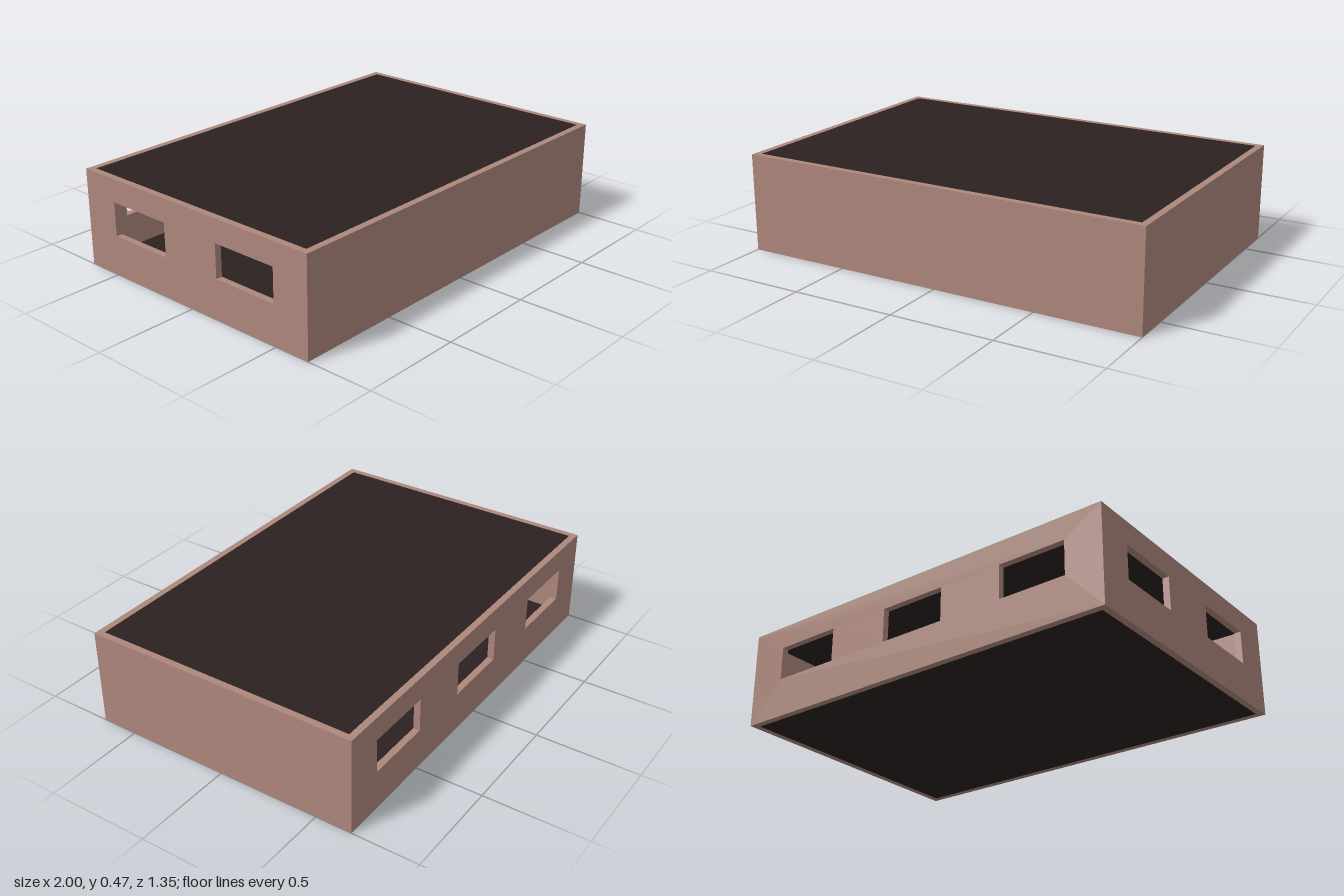
import * as THREE from 'three';

const W = 2, D = 1.354, H = 0.47, T = 0.032;        // overall size and wall thickness
const WIN_W = 0.333, WIN_Y0 = 0.193, WIN_Y1 = 0.357; // window openings

const brick = new THREE.MeshStandardMaterial({ color: 0xad877b });
const dark = new THREE.MeshStandardMaterial({ color: 0x2a2120 });

// Upright wall panel along x, pierced by a window at each given centre
function wall(name, length, windows = []) {
  const shape = new THREE.Shape();
  shape.moveTo(-length / 2, 0).lineTo(length / 2, 0).lineTo(length / 2, H).lineTo(-length / 2, H).closePath();
  for (const c of windows) {
    const a = c - WIN_W / 2, b = c + WIN_W / 2;
    const hole = new THREE.Path();
    hole.moveTo(a, WIN_Y0).lineTo(a, WIN_Y1).lineTo(b, WIN_Y1).lineTo(b, WIN_Y0).closePath();
    shape.holes.push(hole);
  }
  const geometry = new THREE.ExtrudeGeometry(shape, { depth: T, bevelEnabled: false });
  geometry.translate(0, 0, -T / 2);
  const mesh = new THREE.Mesh(geometry, brick);
  mesh.name = name;
  return mesh;
}

// Horizontal slab filling the space between the walls
function slab(name, y) {
  const mesh = new THREE.Mesh(new THREE.BoxGeometry(W - 2 * T, T, D - 2 * T), dark);
  mesh.name = name;
  mesh.position.y = y;
  return mesh;
}

export function createModel() {
  const building = new THREE.Group();
  building.name = 'building';

  // Long walls: blank front, three windows at the back
  const front = wall('frontWall', W);
  front.position.z = (D - T) / 2;
  const back = wall('backWall', W, [-0.65, 0, 0.65]);
  back.position.z = -(D - T) / 2;

  // Short walls: two windows on the -x side, the +x side blank
  const windowedSide = wall('rightWall', D - 2 * T, [-0.325, 0.325]);
  windowedSide.rotation.y = -Math.PI / 2;
  windowedSide.position.x = -(W - T) / 2;
  const blankSide = wall('leftWall', D - 2 * T);
  blankSide.rotation.y = -Math.PI / 2;
  blankSide.position.x = (W - T) / 2;

  // Floor and roof lie flush with the wall edges
  building.add(front, back, windowedSide, blankSide, slab('floor', T / 2), slab('roof', H - T / 2));
  return building;
}
